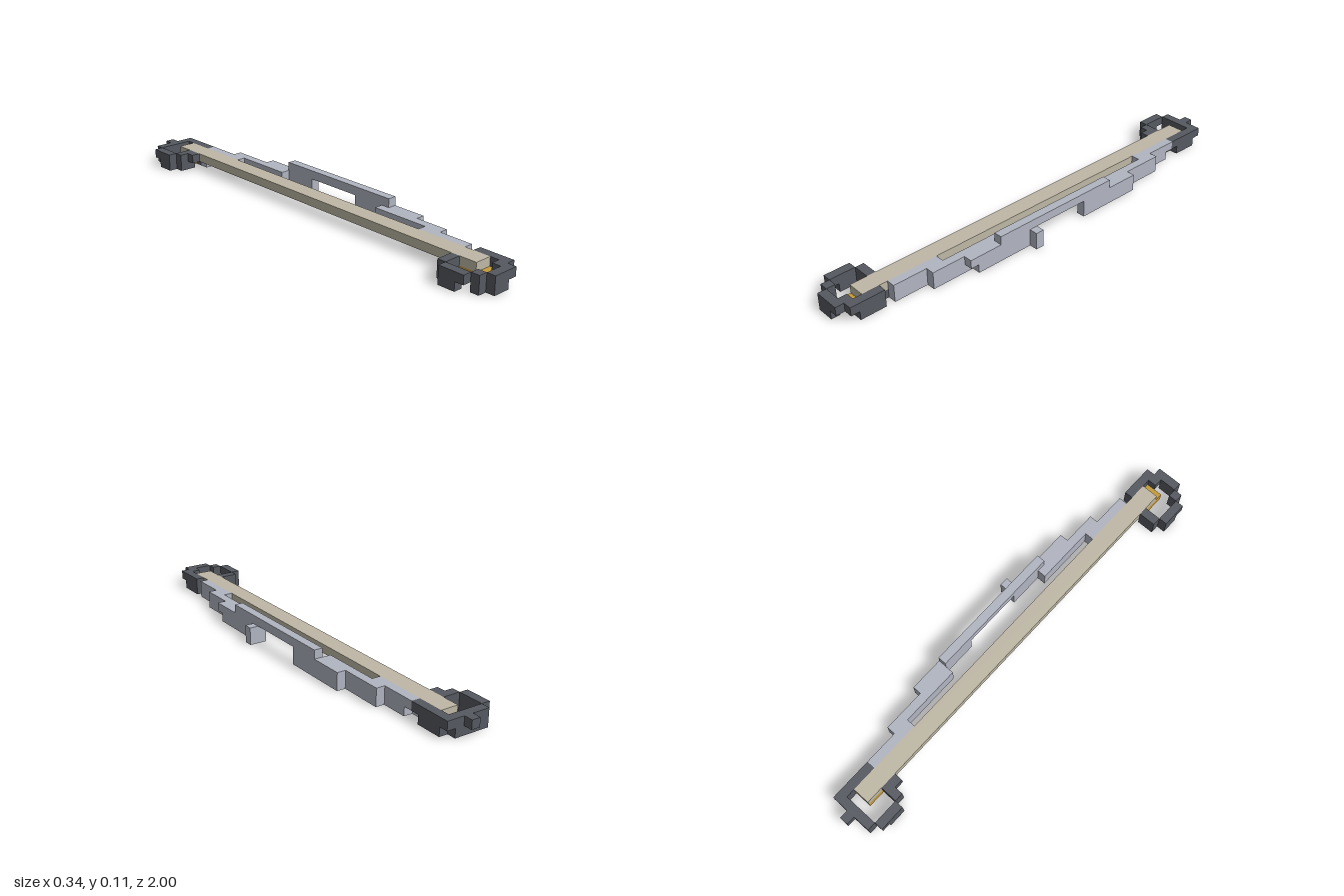
import * as THREE from 'three';

const U = 2 / 53; // one block

const material = (name, color) => {
  const m = new THREE.MeshStandardMaterial({ color });
  m.name = name;
  return m;
};

export function createModel() {
  const model = new THREE.Group();
  model.name = 'blockBow';

  const charcoal = material('charcoal', 0x555960);
  const steel = material('paleSteel', 0xb1b5c1);
  const cord = material('cord', 0xbfb8a6);
  const gold = material('gold', 0xc59a38);

  // Each box is [x0, x1, y0, y1, z0, z1] in whole blocks
  const part = (name, mat, boxes) => {
    const group = new THREE.Group();
    group.name = name;
    for (const [x0, x1, y0, y1, z0, z1] of boxes) {
      const mesh = new THREE.Mesh(
        new THREE.BoxGeometry((x1 - x0) * U, (y1 - y0) * U, (z1 - z0) * U), mat);
      mesh.position.set(((x0 + x1) / 2 - 4.5) * U, ((y0 + y1) / 2) * U, ((z0 + z1) / 2 - 26.5) * U);
      mesh.name = name + 'Block';
      group.add(mesh);
    }
    model.add(group);
  };

  // Taut string and the gold knots beneath its ends
  part('string', cord, [[3, 5, 1, 2, 3, 50]]);
  part('frontKnot', gold, [[3, 5, 0, 1, 48, 51]]);
  part('rearKnot', gold, [[3, 5, 0, 1, 3, 5]]);

  // Raised grip bridging the two limbs, with a small arrow rest
  part('grip', steel, [[7, 8, 2, 3, 19, 35]]);
  part('arrowRest', steel, [[8, 9, 0, 2, 30, 31]]);

  // Stepped limbs
  part('frontLimb', steel, [
    [7, 8, 0, 2, 30, 38], [7, 8, 1, 2, 38, 39],
    [6, 7, 0, 2, 34, 43],
    [5, 6, 0, 2, 41, 47],
  ]);
  part('rearLimb', steel, [
    [7, 8, 0, 2, 15, 23],
    [6, 7, 0, 2, 10, 19],
    [5, 6, 0, 2, 7, 12], [5, 6, 1, 2, 6, 7],
    [4, 5, 0, 1, 6, 7],
  ]);

  // Curled tips
  part('frontTip', charcoal, [
    [4, 5, 0, 1, 47, 48],
    [5, 6, 0, 2, 48, 51], [5, 6, 1, 2, 51, 52],
    [4, 5, 1, 2, 51, 53],
    [2, 4, 0, 2, 52, 53],
    [1, 2, 0, 2, 51, 52],
    [0, 1, 0, 2, 48, 50], [0, 1, 1, 2, 50, 51],
    [1, 3, 0, 2, 47, 48],
  ]);
  part('rearTip', charcoal, [
    [4, 5, 0, 1, 5, 6],
    [5, 6, 0, 2, 2, 5], [5, 6, 1, 2, 5, 6],
    [1, 5, 0, 2, 1, 2], [5, 6, 1, 2, 1, 2],
    [3, 4, 1, 2, 0, 1],
    [0, 1, 0, 2, 3, 5], [0, 1, 1, 2, 2, 3],
    [1, 3, 0, 2, 5, 6],
    [2, 3, 1, 2, 6, 7],
  ]);

  return model;
}
